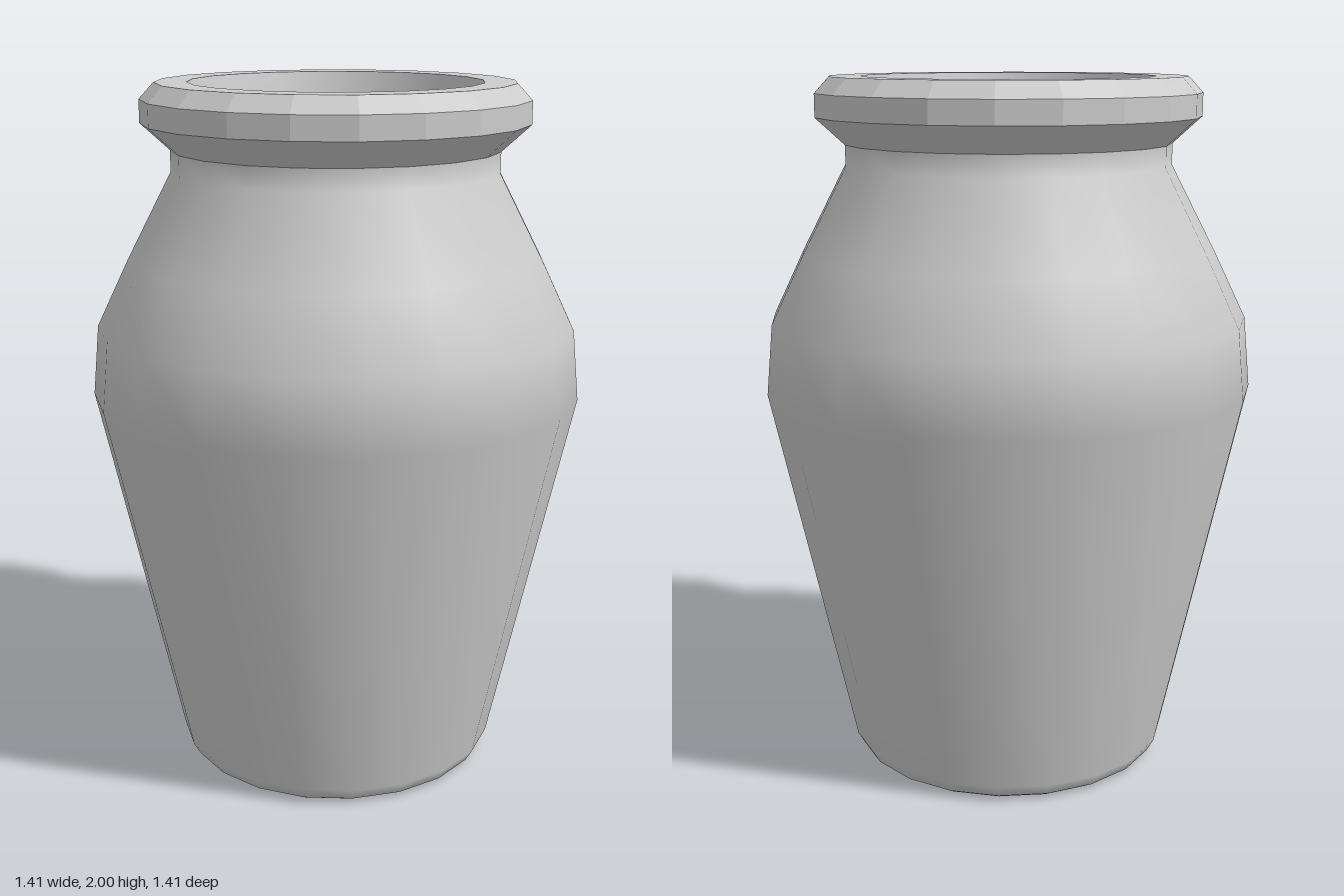
import * as THREE from 'three';

const SIDES = 20;

// Revolve a list of [radius, height] points around the y axis
function revolve(name, profile, flatShading = false) {
  const points = profile.map(([r, y]) => new THREE.Vector2(r, y));
  const material = new THREE.MeshStandardMaterial({ color: 0xcccccc, flatShading });
  const mesh = new THREE.Mesh(new THREE.LatheGeometry(points, SIDES), material);
  mesh.name = name;
  return mesh;
}

export function createModel() {
  const jar = new THREE.Group();
  jar.name = 'jar';

  jar.add(
    // Flat underside
    revolve('base', [[0, 0], [0.425, 0]]),
    // Rounded foot, tapered belly, shoulder and short neck
    revolve('body', [
      [0.425, 0], [0.45, 0.015], [0.47, 0.05], [0.704, 1.12],
      [0.685, 1.32], [0.593, 1.51], [0.465, 1.755], [0.465, 1.815],
    ]),
    // Faceted, flared lip
    revolve('rim', [
      [0.465, 1.815], [0.547, 1.89], [0.547, 1.955], [0.505, 2], [0.415, 2],
    ], true),
    // Hollow inside, following the outer wall
    revolve('innerWall', [
      [0.415, 2], [0.375, 1.82], [0.375, 1.74], [0.505, 1.48],
      [0.595, 1.29], [0.612, 1.13], [0.39, 0.09],
    ]),
    // Inside bottom
    revolve('innerFloor', [[0.39, 0.09], [0, 0.09]].reverse().map(([r, y]) => [r, y]).reverse()),
  );
  return jar;
}
